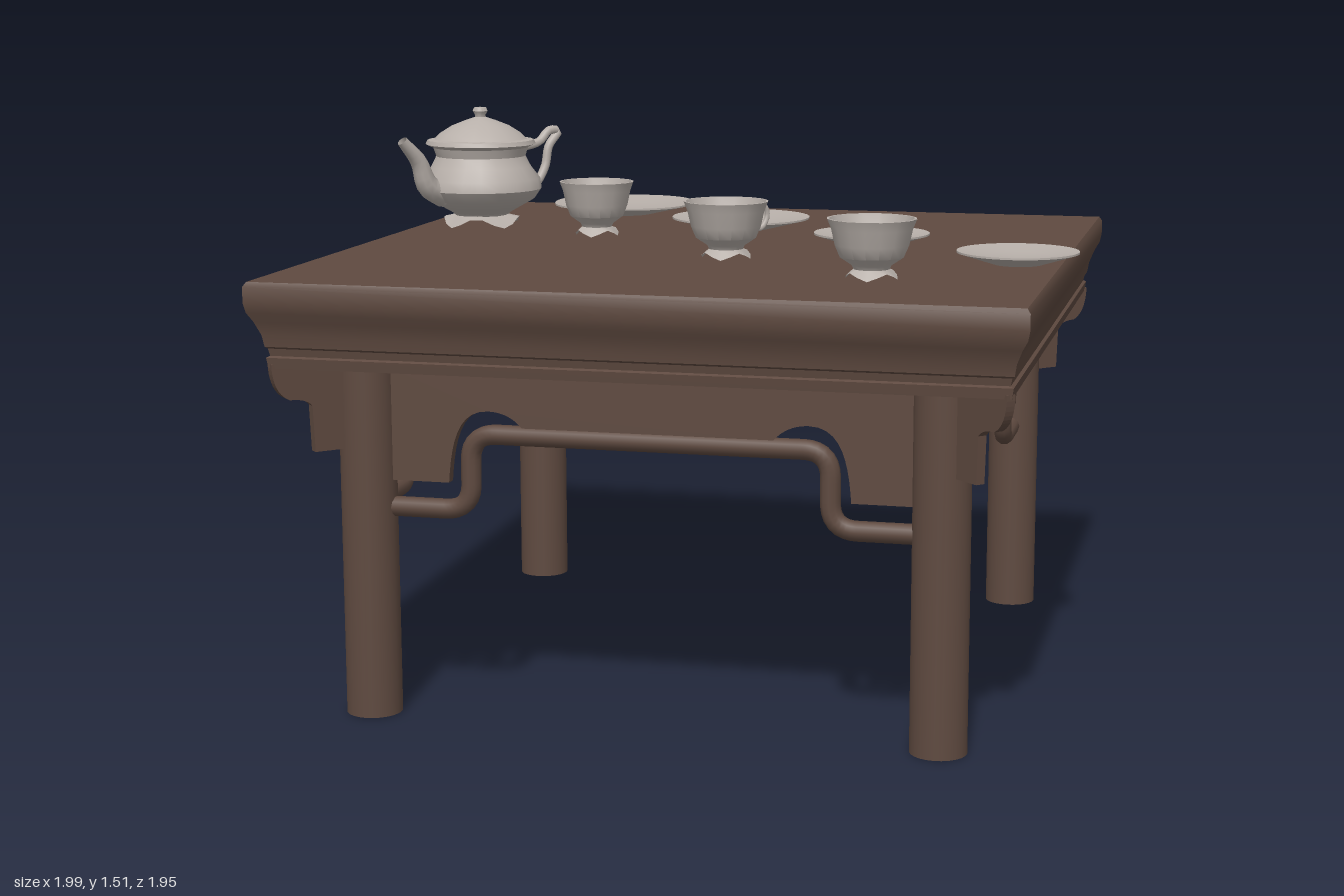
import * as THREE from 'three';
import { toCreasedNormals } from 'three/addons/utils/BufferGeometryUtils.js';

const wood = new THREE.MeshStandardMaterial({ color: 0x5f4a40 });
wood.name = 'dark wood';
const china = new THREE.MeshStandardMaterial({ color: 0xb8b0aa, side: THREE.DoubleSide });
china.name = 'pale china';

const V = (x, y, z = 0) => new THREE.Vector3(x, y, z);

function add(parent, name, geometry, material, x = 0, y = 0, z = 0) {
  const mesh = new THREE.Mesh(geometry, material);
  mesh.name = name;
  mesh.position.set(x, y, z);
  parent.add(mesh);
  return mesh;
}

// Turned piece from [radius, height] pairs; warp(angle, v) moves each vertex
function turned(points, sides, warp, crease = 0.6) {
  const geo = new THREE.LatheGeometry(points.map(([r, y]) => new THREE.Vector2(r, y)), sides);
  if (warp) {
    const p = geo.attributes.position, v = V(0, 0);
    for (let i = 0; i < p.count; i++) {
      v.fromBufferAttribute(p, i);
      warp(Math.atan2(v.z, v.x), v);
      p.setXYZ(i, v.x, v.y, v.z);
    }
  }
  return toCreasedNormals(geo, crease);
}

// Lifts the rim of the foot between four little toes
const toes = (base, height) => (a, v) => {
  if (v.y < base + 0.001) v.y += height * (0.5 - 0.5 * Math.cos(4 * a));
};

// Path with rounded corners
function roundedPath(points, radius) {
  const path = new THREE.CurvePath();
  let last = points[0];
  for (let i = 1; i < points.length - 1; i++) {
    const c = points[i];
    const a = c.clone().add(points[i - 1].clone().sub(c).setLength(radius));
    const b = c.clone().add(points[i + 1].clone().sub(c).setLength(radius));
    path.add(new THREE.LineCurve3(last, a));
    path.add(new THREE.QuadraticBezierCurve3(a, c, b));
    last = b;
  }
  path.add(new THREE.LineCurve3(last, points[points.length - 1]));
  return path;
}

function extrude(shape, depth) {
  const geo = new THREE.ExtrudeGeometry(shape, { depth, bevelEnabled: false, curveSegments: 10 });
  geo.translate(0, 0, -depth / 2);
  return geo;
}

function createTable() {
  const table = new THREE.Group();
  table.name = 'table';
  const LEG = 0.745;

  // Square moulded top: a four-sided turned profile
  const profile = [[0, 0.935], [0.932, 0.935], [0.936, 0.962], [0.928, 0.966], [0.932, 0.985],
    [0.938, 0.99], [0.943, 1.02], [0.957, 1.055], [0.971, 1.08], [0.976, 1.105],
    [0.976, 1.145], [0.968, 1.157], [0, 1.157]];
  const top = turned(profile.map(([r, y]) => [r * Math.SQRT2, y]), 4);
  top.rotateY(Math.PI / 4);
  add(table, 'tableTop', top, wood);

  // Apron with a cusped opening at each end
  const apron = new THREE.Shape();
  apron.moveTo(-LEG, 0.945);
  apron.lineTo(-LEG, 0.625);
  apron.lineTo(-0.522, 0.625);
  apron.bezierCurveTo(-0.515, 0.72, -0.5, 0.815, -0.415, 0.815);
  apron.quadraticCurveTo(-0.36, 0.815, -0.325, 0.775);
  apron.lineTo(0.325, 0.775);
  apron.quadraticCurveTo(0.36, 0.815, 0.415, 0.815);
  apron.bezierCurveTo(0.5, 0.815, 0.515, 0.72, 0.522, 0.625);
  apron.lineTo(LEG, 0.625);
  apron.lineTo(LEG, 0.945);
  const apronGeo = extrude(apron, 0.03);

  // Humped round stretcher
  const half = [V(-LEG, 0.553), V(-0.467, 0.553), V(-0.467, 0.753)];
  const path = roundedPath([...half, ...half.map(p => V(-p.x, p.y)).reverse()], 0.07);
  const railGeo = new THREE.TubeGeometry(path, 120, 0.026, 10);

  // Stepped corner bracket, standing on the diagonal
  const bracket = new THREE.Shape();
  bracket.moveTo(0.04, 0.945);
  bracket.lineTo(0.04, 0.71);
  bracket.lineTo(0.15, 0.71);
  bracket.lineTo(0.155, 0.83);
  bracket.quadraticCurveTo(0.17, 0.85, 0.215, 0.85);
  bracket.quadraticCurveTo(0.26, 0.87, 0.262, 0.945);
  const bracketGeo = extrude(bracket, 0.025);

  const legGeo = new THREE.CylinderGeometry(0.073, 0.073, 0.94, 24);
  for (let i = 0; i < 4; i++) {
    const side = new THREE.Group();
    side.name = 'side' + (i + 1);
    side.rotation.y = i * Math.PI / 2;
    table.add(side);
    add(side, 'apron', apronGeo, wood, 0, 0, LEG);
    add(side, 'stretcher', railGeo, wood, 0, 0, LEG);
    add(side, 'leg', legGeo, wood, LEG, 0.47, LEG);
    add(side, 'cornerBracket', bracketGeo, wood, LEG, 0, LEG).rotation.y = -Math.PI / 4;
  }
  table.position.x = -0.022;
  return table;
}

function createCup(handleAngle, scale = 1) {
  const cup = new THREE.Group();
  cup.name = 'cup';
  const shell = [[0.065, 0], [0.045, 0.025], [0.05, 0.035], [0.08, 0.055], [0.093, 0.085], [0.102, 0.125],
    [0.112, 0.15], [0.106, 0.15], [0.09, 0.1], [0.07, 0.06], [0, 0.05]];
  add(cup, 'cupShell', turned(shell, 16, toes(0, 0.018)), china);
  const loop = new THREE.CatmullRomCurve3([V(0.085, 0.07), V(0.125, 0.07), V(0.145, 0.1),
    V(0.135, 0.128), V(0.1, 0.125)]);
  if (handleAngle !== null) {
    add(cup, 'cupHandle', new THREE.TubeGeometry(loop, 12, 0.007, 6), china).rotation.y = handleAngle;
  }
  cup.scale.set(scale, 1, scale);
  return cup;
}

function createTeapot() {
  const pot = new THREE.Group();
  pot.name = 'teapot';
  const body = [[0.11, 0], [0.075, 0.035], [0.11, 0.055], [0.155, 0.08], [0.176, 0.11], [0.172, 0.14],
    [0.145, 0.175], [0.13, 0.205], [0.138, 0.23], [0.16, 0.24], [0.155, 0.252], [0.13, 0.255]];
  add(pot, 'potBody', turned(body, 20, toes(0, 0.03)), china);
  add(pot, 'potBase', new THREE.CylinderGeometry(0.1, 0.075, 0.03, 16), china, 0, 0.045);
  const lid = [[0.14, 0.25], [0.12, 0.27], [0.085, 0.292], [0.045, 0.308], [0.015, 0.318],
    [0.016, 0.325], [0.022, 0.335], [0.018, 0.345], [0, 0.347]];
  add(pot, 'lid', turned(lid, 16), china);

  // Spout: tube narrowed along its length
  const spoutPath = new THREE.CatmullRomCurve3([V(0.13, 0.1), V(0.19, 0.13), V(0.22, 0.2), V(0.275, 0.262)]);
  const steps = 12, spout = new THREE.TubeGeometry(spoutPath, steps, 0.04, 10);
  const p = spout.attributes.position, v = V(0, 0);
  for (let i = 0; i < p.count; i++) {
    const t = Math.floor(i / 11) / steps, c = spoutPath.getPointAt(t);
    v.fromBufferAttribute(p, i).sub(c).multiplyScalar(1 - 0.62 * t).add(c);
    p.setXYZ(i, v.x, v.y, v.z);
  }
  add(pot, 'spout', spout, china);

  // Handle, opposite the spout
  const handlePath = new THREE.CatmullRomCurve3([V(-0.16, 0.09), V(-0.2, 0.11), V(-0.235, 0.16),
    V(-0.25, 0.22), V(-0.285, 0.262), V(-0.25, 0.265), V(-0.215, 0.235), V(-0.14, 0.22)]);
  add(pot, 'potHandle', new THREE.TubeGeometry(handlePath, 28, 0.013, 8), china);
  pot.rotation.y = -2.185;
  return pot;
}

export function createModel() {
  const model = new THREE.Group();
  model.name = 'teaTable';
  model.add(createTable());

  // Saucers: x, z, radius, waviness of the rim
  for (const [x, z, r, wave] of [[-0.485, -0.712, 0.216, 0.025], [-0.045, -0.402, 0.2, 0],
    [0.395, -0.097, 0.16, 0], [0.835, 0.212, 0.16, 0]]) {
    const dish = [[0, 0.003], [0.4 * r, 0.003], [0.7 * r, 0.018], [r, 0.033], [r, 0.038],
      [0.5 * r, 0.026], [0, 0.022]];
    const warp = (a, v) => {
      const k = 1 - wave * Math.cos(4 * a + 0.6);
      v.x *= k;
      v.z *= k;
    };
    add(model, 'saucer', turned(dish, 40, warp), china, x, 1.157, z);
  }

  // Cups: x, z, handle direction, width
  for (const [x, z, angle, scale] of [[-0.355, 0.035, null, 0.92], [0.085, 0.342, 0.95, 1],
    [0.525, 0.65, null, 1]]) {
    const cup = createCup(angle, scale);
    cup.position.set(x, angle === null && scale < 1 ? 1.182 : 1.17, z);
    model.add(cup);
  }

  const pot = createTeapot();
  pot.position.set(-0.795, 1.163, -0.27);
  model.add(pot);
  return model;
}
